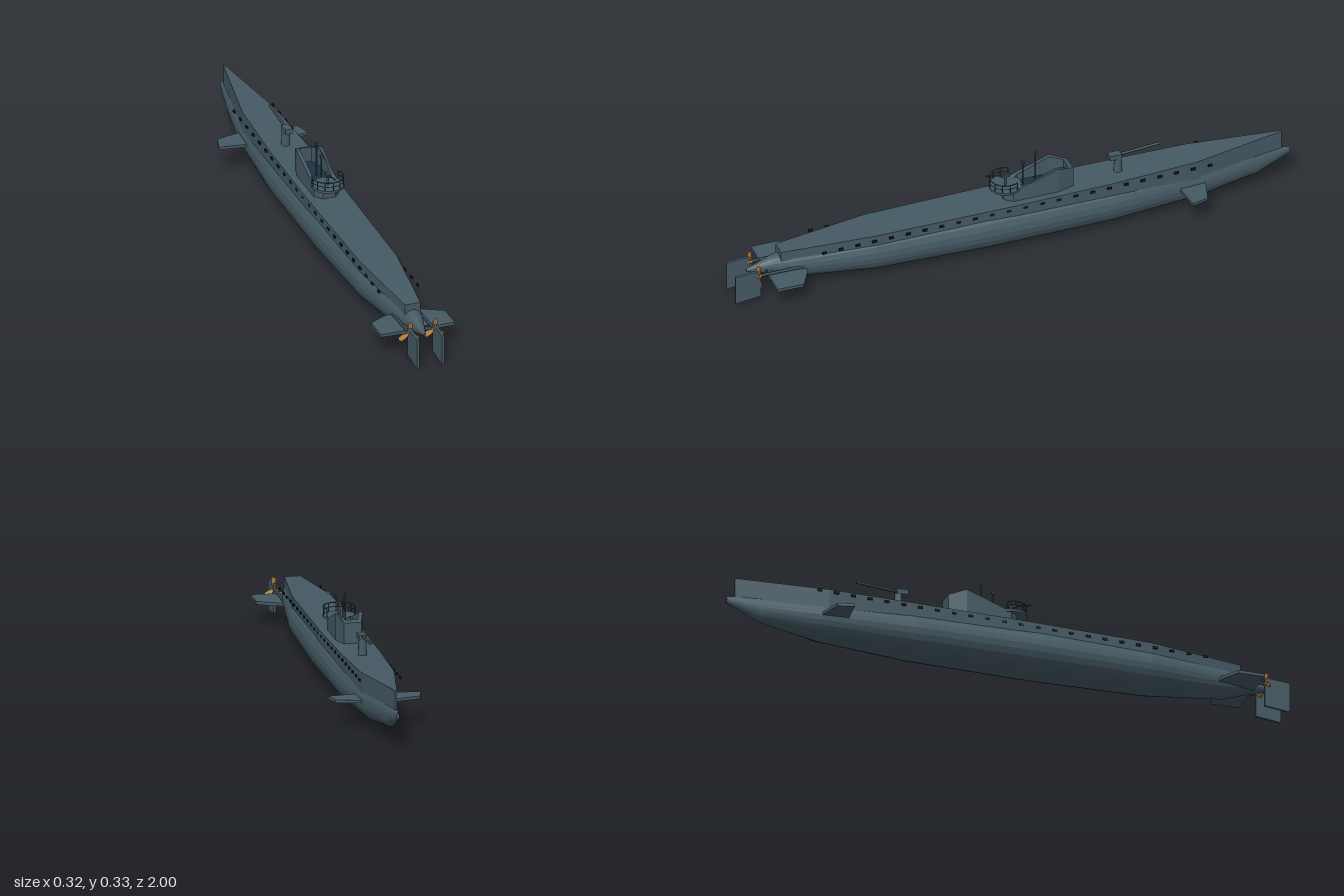
import * as THREE from 'three';

const mat = (name, color) => {
  const m = new THREE.MeshStandardMaterial({ color });
  m.name = name;
  return m;
};

// Skin rings of [x, y, z] points (counter-clockwise seen from +z, ordered by rising z)
function loft(rings) {
  const n = rings[0].length, last = rings.length - 1, pos = [];
  const tri = (a, b, c) => pos.push(...a, ...b, ...c);
  for (let i = 0; i < last; i++) {
    for (let j = 0; j < n; j++) {
      const k = (j + 1) % n;
      tri(rings[i][j], rings[i][k], rings[i + 1][j]);
      tri(rings[i][k], rings[i + 1][k], rings[i + 1][j]);
    }
  }
  for (let j = 1; j < n - 1; j++) {
    tri(rings[0][0], rings[0][j + 1], rings[0][j]);
    tri(rings[last][0], rings[last][j], rings[last][j + 1]);
  }
  const g = new THREE.BufferGeometry();
  g.setAttribute('position', new THREE.Float32BufferAttribute(pos, 3));
  g.computeVertexNormals();
  return g;
}

// Horizontal plate from an outline of [x, z] points, with an optional opening
function plate(outline, y, thickness, opening) {
  const flat = (pts) => pts.map(([x, z]) => new THREE.Vector2(x, -z));
  const shape = new THREE.Shape(flat(outline));
  if (opening) shape.holes.push(new THREE.Path(flat(opening)));
  return new THREE.ExtrudeGeometry(shape, { depth: thickness, bevelEnabled: false })
    .rotateX(-Math.PI / 2).translate(0, y, 0);
}

// Mirror half an outline across x = 0
const mirrored = (half) => [...half, ...half.map(([x, z]) => [-x, z]).reverse()];

export function createModel() {
  const root = new THREE.Group();
  const steel = mat('blue grey steel', 0x455a64);
  const gunmetal = mat('dark gunmetal', 0x37474f);
  const black = mat('vent black', 0x14191c);
  const navy = mat('bridge floor navy', 0x1c3444);
  const bronze = mat('propeller bronze', 0xb5803f);

  const add = (name, geo, material, x = 0, y = 0, z = 0, parent = root) => {
    const m = new THREE.Mesh(geo, material);
    m.name = name;
    m.position.set(x, y, z);
    parent.add(m);
    return m;
  };
  const rod = (name, from, to, r, material) => {
    const a = new THREE.Vector3(...from), b = new THREE.Vector3(...to);
    const m = add(name, new THREE.CylinderGeometry(r, r, a.distanceTo(b), 8), material);
    m.position.copy(a).add(b).multiplyScalar(0.5);
    m.quaternion.setFromUnitVectors(new THREE.Vector3(0, 1, 0), b.sub(a).normalize());
    return m;
  };

  // Pressure hull: z, half width, bottom, top
  const hull = [
    [-1, 0.005, 0.112, 0.135], [-0.88, 0.027, 0.058, 0.148], [-0.67, 0.061, 0.024, 0.16],
    [-0.35, 0.084, 0.005, 0.17], [0.1, 0.091, 0.002, 0.174], [0.5, 0.081, 0.009, 0.166],
    [0.78, 0.046, 0.037, 0.142], [0.86, 0.028, 0.064, 0.128], [0.945, 0.004, 0.088, 0.098],
  ].map(([z, w, b, t]) => Array.from({ length: 24 }, (_, i) => {
    const a = (i / 24) * Math.PI * 2;
    return [w * Math.cos(a), (b + t) / 2 + (t - b) / 2 * Math.sin(a), z];
  }));
  add('hull', loft(hull), steel);

  // Deck casing: z, half width, bottom, top
  const casing = [
    [-0.97, 0.003, 0.125, 0.206], [-0.65, 0.056, 0.12, 0.192], [-0.35, 0.068, 0.12, 0.184],
    [0, 0.072, 0.12, 0.179], [0.5, 0.066, 0.12, 0.171], [0.83, 0.028, 0.1, 0.156],
  ].map(([z, w, b, t]) => [[-w, b, z], [w, b, z], [w, t, z], [-w, t, z]]);
  add('deckCasing', loft(casing), steel);

  // Flood holes along both sides
  const holeGeo = new THREE.BoxGeometry(0.006, 0.008, 0.016);
  for (const s of [1, -1]) {
    for (let i = 0; i < 24; i++) {
      const z = -0.69 + i * 0.06;
      add('floodHole', holeGeo, black, s * 0.07, 0.163 - z * 0.021, z);
    }
  }

  // Diving planes, rudders, shafts and propellers
  const bowPlane = [[0.04, -0.68], [0.07, -0.675], [0.145, -0.655], [0.16, -0.597], [0.07, -0.585], [0.04, -0.585]];
  const sternPlane = [[0.015, 0.74], [0.07, 0.75], [0.133, 0.785], [0.133, 0.88], [0.015, 0.88]];
  const rudderShape = new THREE.Shape([[-1, 0], [-0.91, 0.01], [-0.91, 0.113], [-1, 0.107]]
    .map(([x, y]) => new THREE.Vector2(x, y)));
  const rudderGeo = new THREE.ExtrudeGeometry(rudderShape, { depth: 0.009, bevelEnabled: false })
    .rotateY(Math.PI / 2).translate(-0.0045, 0, 0);
  const bladeShape = new THREE.Shape([[0.004, -0.004], [0.02, -0.01], [0.038, -0.008], [0.043, 0],
    [0.035, 0.009], [0.018, 0.008], [0.004, 0.004]].map(([x, y]) => new THREE.Vector2(x, y)));
  const bladeGeo = new THREE.ExtrudeGeometry(bladeShape, { depth: 0.004, bevelEnabled: false })
    .translate(0, 0, -0.002).rotateX(0.35);
  for (const s of [1, -1]) {
    const mirror = (pts) => pts.map(([x, z]) => [s * x, z]);
    add('bowPlane', plate(mirror(bowPlane), 0.092, 0.01), steel);
    add('sternPlane', plate(mirror(sternPlane), 0.075, 0.011), steel);
    add('rudder', rudderGeo, steel, s * 0.045);
    rod('propellerShaft', [s * 0.045, 0.092, 0.72], [s * 0.045, 0.092, 0.925], 0.005, gunmetal);
    rod('shaftStrut', [s * 0.045, 0.092, 0.885], [0, 0.092, 0.875], 0.003, gunmetal);
    const propeller = new THREE.Group();
    propeller.name = 'propeller';
    propeller.position.set(s * 0.045, 0.092, 0.917);
    root.add(propeller);
    add('propellerHub', new THREE.CylinderGeometry(0.006, 0.007, 0.016, 10).rotateX(Math.PI / 2),
      bronze, 0, 0, 0, propeller);
    for (const a of [85, 205, 325]) {
      add('propellerBlade', bladeGeo, bronze, 0, 0, 0, propeller).rotation.z = a * Math.PI / 180;
    }
  }

  // Conning tower: open bulwark whose rim climbs toward the bow
  const outer = mirrored([[0.022, 0.032], [0.045, 0.005], [0.046, -0.155], [0.03, -0.215]]);
  const inner = mirrored([[0.018, -0.015], [0.033, -0.035], [0.034, -0.15], [0.022, -0.198]]);
  const tower = plate(outer, 0.17, 0.1, inner);
  const p = tower.attributes.position;
  for (let i = 0; i < p.count; i++) {
    if (p.getY(i) < 0.2) continue;
    const z = p.getZ(i);
    p.setY(i, z > 0 ? 0.217 : z > -0.155 ? 0.217 - z * 0.374 : 0.275 + (z + 0.155) * 0.35);
  }
  tower.computeVertexNormals();
  add('conningTower', tower, steel);
  add('bridgeFloor', plate(inner, 0.2, 0.006), navy);

  // Periscopes
  for (const [z, top] of [[-0.045, 0.304], [-0.09, 0.331]]) {
    rod('periscope', [0, 0.2, z], [0, top, z], 0.0028, gunmetal);
    add('periscopeHead', new THREE.BoxGeometry(0.006, 0.008, 0.01), gunmetal, 0, top - 0.005, z - 0.002);
  }

  // Gun platform with railing
  const cz = 0.018, rail = 0.054;
  add('gunPlatform', new THREE.CylinderGeometry(0.056, 0.056, 0.008, 24), steel, 0, 0.22, cz);
  for (const y of [0.254, 0.239]) {
    const r = y > 0.25 ? 0.002 : 0.0013;
    add('railing', new THREE.TorusGeometry(rail, r, 6, 32, Math.PI * 4 / 3)
      .rotateZ(-Math.PI / 6).rotateX(Math.PI / 2), gunmetal, 0, y, cz);
  }
  for (let i = 0; i <= 8; i++) {
    const a = -Math.PI / 6 + i * Math.PI / 6;
    const x = rail * Math.cos(a), z = cz + rail * Math.sin(a);
    rod('railingPost', [x, 0.222, z], [x, 0.254, z], 0.0018, gunmetal);
  }

  // Anti-aircraft gun
  rod('platformGunPost', [0, 0.222, cz], [0, 0.258, cz], 0.005, gunmetal);
  add('platformGunBody', new THREE.BoxGeometry(0.01, 0.011, 0.03), gunmetal, 0, 0.26, cz);
  rod('platformGunBarrel', [0, 0.26, cz], [0, 0.274, 0.09], 0.0025, gunmetal);

  // Deck gun
  add('deckGunPedestal', new THREE.CylinderGeometry(0.013, 0.016, 0.065, 10), steel, 0, 0.208, -0.385);
  add('deckGunBreech', new THREE.BoxGeometry(0.026, 0.018, 0.042), steel, 0, 0.247, -0.373);
  rod('deckGunBarrel', [0, 0.247, -0.36], [0, 0.261, -0.535], 0.005, gunmetal);

  return root;
}
